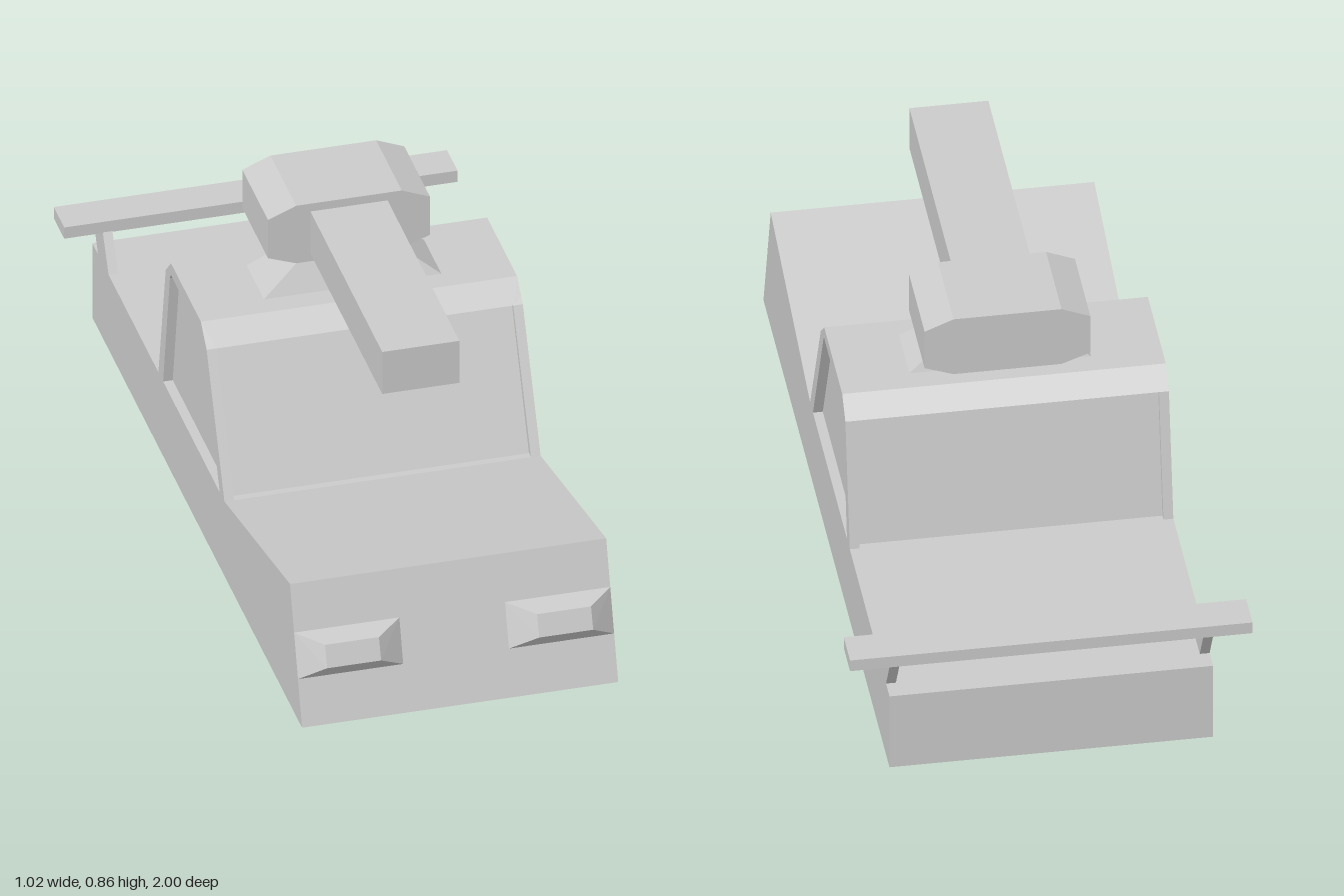
import * as THREE from 'three';
import { ConvexGeometry } from 'three/addons/geometries/ConvexGeometry.js';

const material = new THREE.MeshStandardMaterial({ color: 0xcccccc, flatShading: true });

function add(parent, name, geometry) {
  const mesh = new THREE.Mesh(geometry, material);
  mesh.name = name;
  parent.add(mesh);
  return mesh;
}

// Side profile given as [z, y] points, extruded across x0..x1
function sideExtrude(points, x0, x1) {
  const shape = new THREE.Shape(points.map(p => new THREE.Vector2(...p)));
  return new THREE.ExtrudeGeometry(shape, { depth: x1 - x0, bevelEnabled: false })
    .rotateY(-Math.PI / 2).translate(x1, 0, 0);
}

// Box given by its limits
function box(x0, x1, y0, y1, z0, z1) {
  return new THREE.BoxGeometry(x1 - x0, y1 - y0, z1 - z0)
    .translate((x0 + x1) / 2, (y0 + y1) / 2, (z0 + z1) / 2);
}

const hull = points => new ConvexGeometry(points.map(p => new THREE.Vector3(...p)));

export function createModel() {
  const car = new THREE.Group();
  car.name = 'turretCar';
  const W = 0.41, IN = 0.385; // outer half width, recessed half width

  // Wedge-nosed lower body
  add(car, 'body', sideExtrude(
    [[1, 0], [0.885, 0.355], [0.26, 0.22], [-1, 0.22], [-1, 0]], -W, W));

  // Recessed glass block
  add(car, 'windows', sideExtrude(
    [[0.245, 0.21], [0.075, 0.57], [-0.285, 0.57], [-0.355, 0.21]], -IN, IN));

  // Roof with sloped ends and chamfered lower side edges
  const roof = [];
  for (const s of [-1, 1]) {
    roof.push([s * IN, 0.565, 0.09], [s * IN, 0.565, -0.3]);
    roof.push([s * W, 0.58, 0.073], [s * W, 0.58, -0.285]);
    roof.push([s * W, 0.615, 0.035], [s * W, 0.615, -0.25]);
  }
  add(car, 'roof', hull(roof));

  const frontPillar = [[0.26, 0.22], [0.09, 0.565], [0.073, 0.58], [0.04, 0.58], [0.05, 0.565], [0.215, 0.22]];
  const rearPillar = [[-0.37, 0.22], [-0.3, 0.565], [-0.285, 0.58], [-0.25, 0.58], [-0.26, 0.565], [-0.325, 0.22]];
  const strut = [[-0.845, 0.22], [-0.9, 0.312], [-1, 0.312], [-0.945, 0.22]];

  for (const s of [-1, 1]) {
    const side = s > 0 ? 'left' : 'right';
    const x0 = s > 0 ? IN : -W, x1 = s > 0 ? W : -IN;
    // Cabin pillars and spoiler struts
    add(car, side + 'FrontPillar', sideExtrude(frontPillar, x0, x1));
    add(car, side + 'RearPillar', sideExtrude(rearPillar, x0, x1));
    add(car, side + 'SpoilerStrut', sideExtrude(strut, x0, x1));

    // Headlight: truncated pyramid on the sloping nose
    const light = [];
    for (const x of [0.137, W]) light.push([s * x, 0.12, 0.961], [s * x, 0.235, 0.924]);
    for (const x of [0.205, 0.345]) light.push([s * x, 0.165, 1], [s * x, 0.222, 0.98]);
    add(car, side + 'Headlight', hull(light));
  }

  add(car, 'spoiler', box(-0.51, 0.51, 0.31, 0.343, -1, -0.9));

  // Roof gun: tapered mount, eight-sided turret, square barrel
  const gun = new THREE.Group();
  gun.name = 'gun';
  car.add(gun);
  const mount = [];
  for (const s of [-1, 1]) {
    for (const z of [-0.025, -0.19]) mount.push([s * 0.23, 0.615, z]);
    for (const z of [-0.06, -0.16]) mount.push([s * 0.137, 0.685, z]);
  }
  add(gun, 'turretMount', hull(mount));

  const turret = [];
  for (const z of [-0.06, -0.305])
    for (const s of [-1, 1])
      for (const [x, y] of [[0.137, 0.685], [0.21, 0.712], [0.21, 0.825], [0.137, 0.855]])
        turret.push([s * x, y, z]);
  add(gun, 'turret', hull(turret));
  add(gun, 'barrel', box(-0.1, 0.1, 0.708, 0.832, -0.06, 0.625));

  return car;
}
